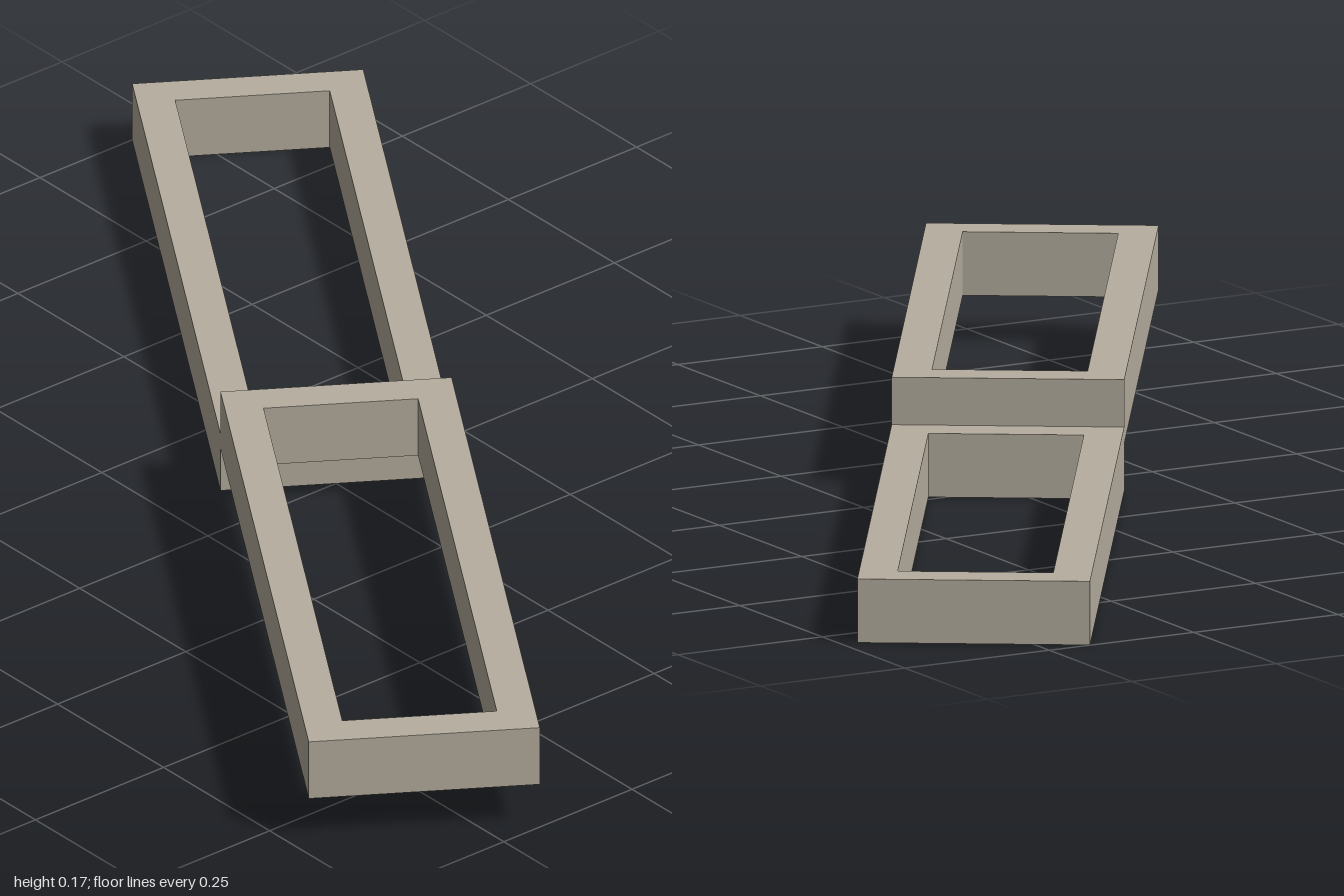
import * as THREE from 'three';

const LENGTH = 1.073, WIDTH = 0.35, WALL = 0.058, HEIGHT = 0.098;

// Rectangle outline from x0 to x1, centred across its width
function rectangle(target, x0, x1, width) {
  const h = width / 2;
  target.moveTo(x0, -h);
  target.lineTo(x1, -h);
  target.lineTo(x1, h);
  target.lineTo(x0, h);
  target.closePath();
  return target;
}

// Open rectangular frame starting at x = 0, standing on y = 0
function frameGeometry() {
  const shape = rectangle(new THREE.Shape(), 0, LENGTH, WIDTH);
  shape.holes.push(rectangle(new THREE.Path(), WALL, LENGTH - WALL, WIDTH - 2 * WALL));
  return new THREE.ExtrudeGeometry(shape, { depth: HEIGHT, bevelEnabled: false }).rotateX(-Math.PI / 2);
}

export function createModel() {
  const model = new THREE.Group();
  model.name = 'steppedFrames';
  const material = new THREE.MeshStandardMaterial({ color: 0xb5ae9f });
  material.name = 'warmGrey';
  const geometry = frameGeometry();

  // Two equal frames end to end, one raised so their ends overlap in height
  for (const [name, turn, y] of [['lowerFrame', Math.PI, 0], ['upperFrame', 0, 0.073]]) {
    const frame = new THREE.Mesh(geometry, material);
    frame.name = name;
    frame.rotation.y = turn - THREE.MathUtils.degToRad(32.5);
    frame.position.y = y;
    model.add(frame);
  }
  return model;
}
